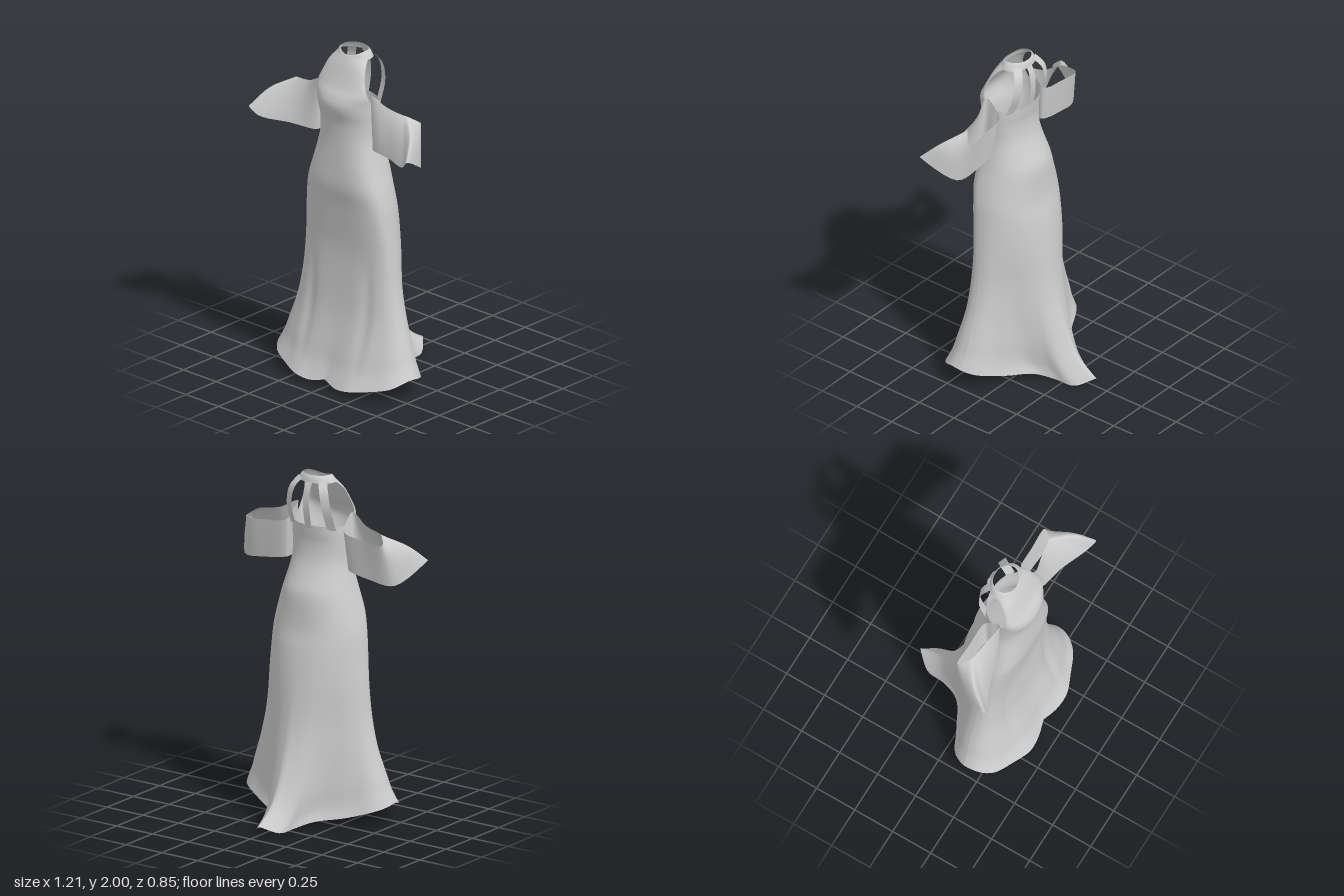
import * as THREE from 'three';

const V = (x, y, z) => new THREE.Vector3(x, y, z);
const { lerp, smoothstep } = THREE.MathUtils;
const cloth = new THREE.MeshStandardMaterial({ color: 0xcccccc, side: THREE.DoubleSide });

// Smooth skin through rows of points; every column is a spline across the rows.
function loft(name, rows, closed, steps = 3) {
  const n = rows[0].length, m = (rows.length - 1) * steps;
  const columns = rows[0].map((_, i) => new THREE.CatmullRomCurve3(rows.map(r => r[i])).getPoints(m));
  const pos = [], idx = [];
  for (let j = 0; j <= m; j++) for (let i = 0; i < n; i++) pos.push(...columns[i][j].toArray());
  for (let j = 0; j < m; j++) for (let i = 0; i < (closed ? n : n - 1); i++) {
    const a = j * n + i, b = j * n + (i + 1) % n;
    idx.push(a, b, b + n, a, b + n, a + n);
  }
  const geo = new THREE.BufferGeometry();
  geo.setAttribute('position', new THREE.Float32BufferAttribute(pos, 3));
  geo.setIndex(idx);
  geo.computeVertexNormals();
  const mesh = new THREE.Mesh(geo, cloth);
  mesh.name = name;
  return mesh;
}

// Half outline of the hem from front to train: relative width, hem height, relative depth
const hem = new THREE.CatmullRomCurve3([
  V(0, .04, .94), V(.2, .02, 1.03), V(.4, .03, 1.05), V(.64, .05, .9), V(.88, .08, .7), V(1, .12, .36),
  V(.95, .1, -.04), V(.63, .05, -.22), V(.3, .02, -.4), V(.19, 0, -.6), V(.16, 0, -.82), V(0, .05, -1),
]);

// Point on the section of a row [y, half width, front z, middle z, back z, hem share] at angle a
function sectionPoint([y, w, zf, zc, zb, t], a) {
  const h = hem.getPoint(Math.min(1, Math.abs(a) / Math.PI));
  const c = Math.cos(a), front = c > 0;
  // the skirt front is boxier than its back and takes up the hem shape lower down
  const power = front ? lerp(.68, .92, smoothstep(y, 1.2, 1.6)) : .92;
  const share = Math.pow(t, 1 + .7 * Math.max(0, c));
  const x = w * lerp(Math.pow(Math.abs(Math.sin(a)), power), h.x, share);
  const s = lerp(Math.sign(c) * Math.pow(Math.abs(c), front ? power : 1), h.z, share);
  // soft pleat on each side of the front of the skirt
  const pleat = s > 0 && y < .8 ? .015 * Math.sin(Math.PI * y / .8) * Math.exp(-(((x - .21) / .04) ** 2)) : 0;
  return V(Math.sign(a) * x, y + h.y * Math.max(0, 1 - y / .5), zc + s * (s > 0 ? zf - zc : zc - zb) - pleat);
}

const gown = [
  [0, .49, .405, .12, -.425, 1],
  [.05, .472, .385, .12, -.35, .95],
  [.11, .452, .365, .125, -.29, .85],
  [.2, .43, .345, .13, -.24, .72],
  [.4, .38, .3, .14, -.17, .5],
  [.6, .342, .28, .15, -.125, .32],
  [.8, .32, .27, .16, -.1, .16],
  [1, .299, .288, .175, -.07, .05],
  [1.1, .286, .3, .18, -.045, 0],
  [1.2, .262, .318, .185, -.035, 0],
  [1.32, .225, .315, .185, -.025, 0],
  [1.4, .203, .31, .185, .01, 0],
  [1.5, .182, .308, .185, .05, 0],
  [1.6, .184, .315, .185, .062, 0],
  [1.66, .186, .335, .19, .055, 0],
  [1.71, .186, .343, .2, .05, 0],
];

// Halter front, rising from the bust to the neck
const bib = [
  [1.76, .186, .325, .23, 0, 0],
  [1.8, .178, .297, .24, 0, 0],
  [1.86, .156, .268, .228, 0, 0],
  [1.92, .136, .242, .198, 0, 0],
  [1.97, .108, .215, .145, 0, 0],
];

// Thin band along a path; side is the half-width vector
function strap(name, path, side) {
  return loft(name, path.map(p => [p.clone().sub(side), p.clone().add(side)]), false, 6);
}

// Off-shoulder sleeve: an upper opening draping to a wider lower opening
function sleeve(side) {
  const upper = [V(.19, 1.78, .215), V(.3, 1.725, .19), V(.4, 1.707, .172), V(.43, 1.7, .16),
    V(.475, 1.66, .105), V(.34, 1.665, .105), V(.2, 1.69, .115), V(.188, 1.74, .16)];
  const lower = [V(.215, 1.46, .225), V(.38, 1.47, .275), V(.55, 1.485, .345), V(.605, 1.535, .365),
    V(.525, 1.42, .16), V(.36, 1.435, .13), V(.215, 1.46, .14), V(.215, 1.46, .18)];
  const middle = upper.map((p, i) => p.clone().lerp(lower[i], .5).add(V(i === 3 ? .025 : 0, i === 3 ? .015 : 0, 0)));
  const rows = [upper, middle, lower].map(loop => {
    const pts = new THREE.CatmullRomCurve3(loop, true, 'centripetal').getPoints(48).slice(0, -1);
    return pts.map(p => V(side * p.x, p.y, p.z));
  });
  return loft(side > 0 ? 'leftSleeve' : 'rightSleeve', rows, true, 5);
}

export function createModel() {
  const model = new THREE.Group();
  model.name = 'gown';

  // Front panel from hem to neck, back panel from train to the low back; they meet in side seams
  const turn = Array.from({ length: 57 }, (_, i) => (i / 56 - .5) * Math.PI);
  model.add(loft('frontPanel', [...gown, ...bib].map(r => turn.map(a => sectionPoint(r, a))), false));
  model.add(loft('backPanel', gown.map(r => turn.map(a =>
    sectionPoint(r, a > 0 ? a - Math.PI : a + Math.PI))), false));

  // Collar band, dipping at the front
  const collar = [[.118, .085, -.04], [.1, .078, -.012], [.085, .069, 0]].map(([rx, rz, dy]) =>
    Array.from({ length: 48 }, (_, i) => {
      const a = i / 48 * Math.PI * 2, c = Math.cos(a);
      return V(rx * Math.sin(a), 2 + dy - .025 * Math.max(0, c) ** 2, .14 + rz * c);
    }));
  model.add(loft('collar', collar, true, 2));

  // Back straps
  model.add(strap('centreBackStrap',
    [V(0, 1.985, .07), V(0, 1.92, .04), V(0, 1.82, .03), V(0, 1.69, .052)], V(.022, 0, 0)));
  for (const s of [1, -1]) {
    model.add(strap(s > 0 ? 'leftBackStrap' : 'rightBackStrap',
      [V(s * .075, 1.98, .085), V(s * .11, 1.92, .047), V(s * .13, 1.82, .045), V(s * .135, 1.69, .09)],
      V(s * .024, 0, .01)));
    model.add(sleeve(s));
  }
  return model;
}
